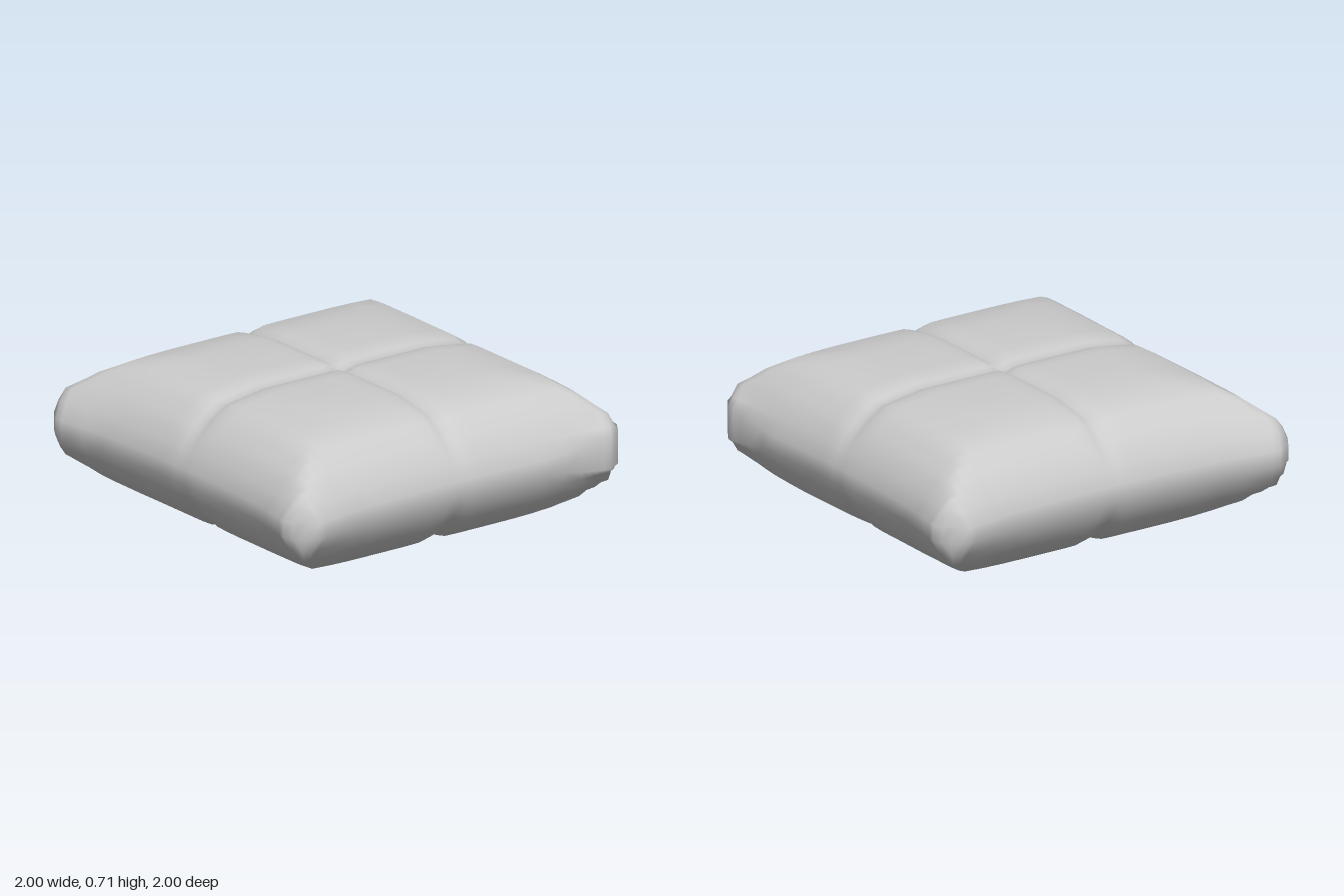
import * as THREE from 'three';
import { mergeVertices } from 'three/addons/utils/BufferGeometryUtils.js';

// Grid spacing from the middle of the cushion to its rim
const LINES = [0, 0.04, 0.08, 0.15, 0.3, 0.5, 0.62, 0.74, 0.79, 0.83, 0.88, 0.92, 0.96, 1];
// Half thickness against distance from the middle
const PUFF = [[0, 0.353], [0.5, 0.353], [0.64, 0.335], [0.74, 0.32], [0.83, 0.268], [0.935, 0.17], [1, 0.04]];
// Rim reach along one side, from its middle to the blunted corner
const REACH = [[0, 0.935], [0.3, 0.94], [0.62, 0.955], [0.92, 1], [1, 0.952]];

function lookUp(table, x) {
  for (let i = 1; i < table.length; i++) {
    const [x0, y0] = table[i - 1], [x1, y1] = table[i];
    if (x <= x1) return y0 + (y1 - y0) * (x - x0) / (x1 - x0);
  }
  return table[table.length - 1][1];
}

const gauss = (x, width) => Math.exp(-((x / width) ** 2));

function cushionPoint(a, b, side, target) {
  const A = Math.abs(a), B = Math.abs(b);
  const t = Math.max(A, B), m = Math.min(A, B);
  const rim = THREE.MathUtils.smoothstep(t, 0.65, 1);
  const scale = (other) => 0.94 + rim * (lookUp(REACH, other) - 0.94);

  // One back corner is blunter than the other three
  const blunt = a > 0 && b < 0 ? THREE.MathUtils.smoothstep(m, 0.5, 0.92) * rim : 0;
  const x = a * scale(B) * (1 - 0.04 * blunt);
  const z = b * scale(A) * (1 - 0.035 * blunt);

  // Puffed thickness, thinner towards the corners
  const edge = 0.04 + 0.04 * blunt;
  let h = Math.max(edge, edge + (lookUp(PUFF, t) - 0.04) * (1 - 0.22 * m ** 6) - 0.04 * blunt);

  // Crossing creases and the small dimple where they meet
  const crease = Math.max(gauss(x, 0.055), gauss(z, 0.045));
  const dimple = gauss(Math.hypot(x, z), 0.04);
  h -= (0.027 * crease + 0.02 * dimple) * THREE.MathUtils.smoothstep(h, 0.05, 0.25);

  target.set(x, 0.355 + side * h, z);
}

export function createModel() {
  const group = new THREE.Group();
  group.name = 'cushion';

  // A box whose vertices are moved into the cushion form
  const n = LINES.length - 1;
  let geometry = new THREE.BoxGeometry(2, 2, 2, n * 2, 1, n * 2);
  geometry.deleteAttribute('normal');
  geometry.deleteAttribute('uv');
  geometry.clearGroups();
  geometry = mergeVertices(geometry);

  const pos = geometry.attributes.position;
  const line = (v) => Math.sign(v) * LINES[Math.round(Math.abs(v) * n)];
  const p = new THREE.Vector3();
  for (let i = 0; i < pos.count; i++) {
    cushionPoint(line(pos.getX(i)), line(pos.getZ(i)), Math.sign(pos.getY(i)), p);
    pos.setXYZ(i, p.x, p.y, p.z);
  }
  geometry.computeVertexNormals();
  geometry.computeBoundingBox();
  geometry.translate(0, -geometry.boundingBox.min.y, 0);

  const body = new THREE.Mesh(geometry, new THREE.MeshStandardMaterial({ color: 0xcccccc }));
  body.name = 'cushionBody';
  group.add(body);
  return group;
}
